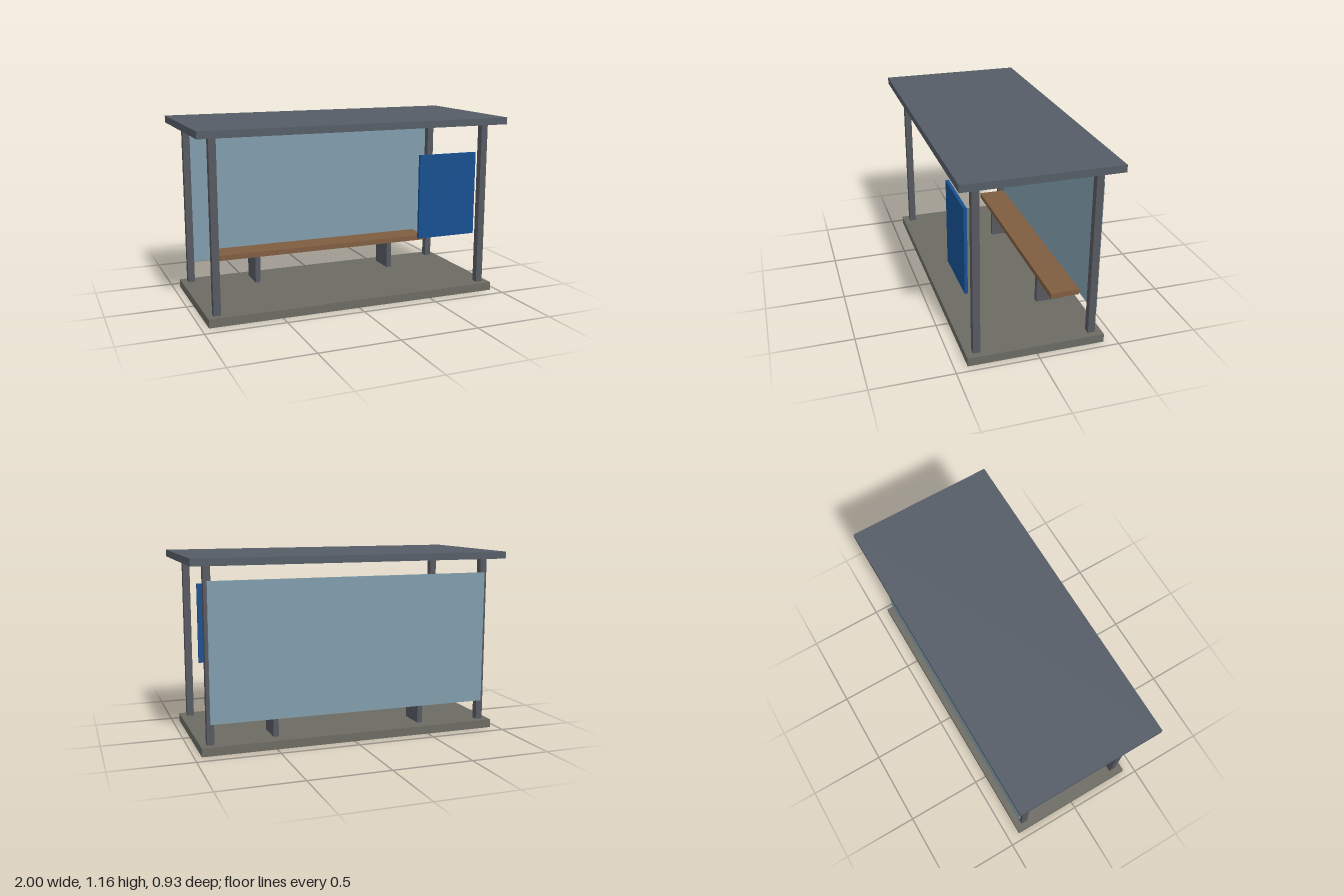
import * as THREE from 'three';

const material = (color) => new THREE.MeshStandardMaterial({ color });

// Box given by its [min, max] extent on each axis
function addBox(parent, name, mat, [x0, x1], [y0, y1], [z0, z1]) {
  const mesh = new THREE.Mesh(new THREE.BoxGeometry(x1 - x0, y1 - y0, z1 - z0), mat);
  mesh.position.set((x0 + x1) / 2, (y0 + y1) / 2, (z0 + z1) / 2);
  mesh.name = name;
  parent.add(mesh);
  return mesh;
}

export function createModel() {
  const shelter = new THREE.Group();
  shelter.name = 'busShelter';

  const concrete = material(0x6b6b63);
  const steel = material(0x55585f);
  const roofing = material(0x555c66);
  const glass = material(0x809cab);
  const wood = material(0x7f5d3f);
  const blue = material(0x164f90);

  // Ground slab and flat roof
  const floorTop = 0.053, roofBottom = 1.113;
  addBox(shelter, 'floorSlab', concrete, [-0.955, 0.955], [0, floorTop], [-0.421, 0.421]);
  addBox(shelter, 'roof', roofing, [-1, 1], [roofBottom, 1.157], [-0.467, 0.467]);

  // Four corner posts
  const postHalf = 0.022;
  for (const [sx, side] of [[-1, 'Right'], [1, 'Left']]) {
    for (const [sz, end] of [[-1, 'back'], [1, 'front']]) {
      const x = sx * 0.893, z = sz * 0.356;
      addBox(shelter, `${end}${side}Post`, steel,
        [x - postHalf, x + postHalf], [floorTop, roofBottom], [z - postHalf, z + postHalf]);
    }
  }

  // Glass sheet behind the back posts
  addBox(shelter, 'backPanel', glass, [-0.895, 0.895], [0.18, 1.022], [-0.391, -0.377]);

  // Notice board in front of the front left post
  addBox(shelter, 'noticeBoard', blue, [0.42, 0.82], [0.4, 0.934], [0.378, 0.397]);

  // Bench: plank seat on two slab legs
  const bench = new THREE.Group();
  bench.name = 'bench';
  shelter.add(bench);
  addBox(bench, 'seat', wood, [-0.757, 0.757], [0.23, 0.264], [-0.335, -0.152]);
  for (const [x, name] of [[-0.483, 'rightLeg'], [0.483, 'leftLeg']]) {
    addBox(bench, name, steel, [x - 0.017, x + 0.017], [floorTop, 0.23], [-0.333, -0.157]);
  }

  return shelter;
}
